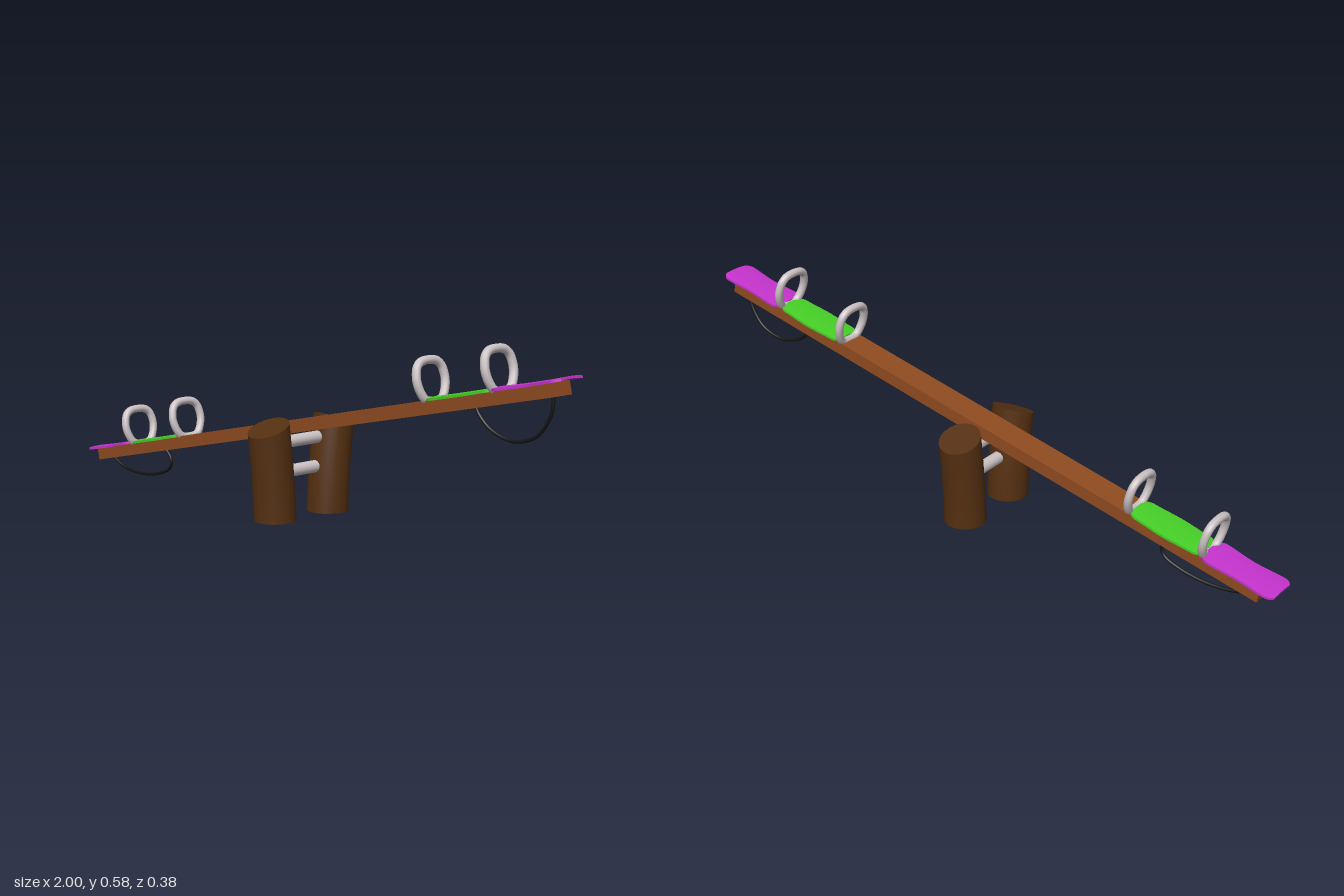
import * as THREE from 'three';

const paint = (color) => new THREE.MeshStandardMaterial({ color });
const WOOD = paint(0x8f4a20), BARK = paint(0x553011), STEEL = paint(0xcdc3c5);
const GREEN = paint(0x46cf26), PURPLE = paint(0xc433cc), RUBBER = paint(0x151515);

function add(parent, name, geometry, material, x = 0, y = 0, z = 0) {
  const mesh = new THREE.Mesh(geometry, material);
  mesh.name = name;
  mesh.position.set(x, y, z);
  parent.add(mesh);
  return mesh;
}

// Log post: leans outward toward the top, with a cut that slopes away from the plank
function postGeometry(side) {
  const g = new THREE.CylinderGeometry(0.063, 0.063, 1, 28, 8);
  const p = g.attributes.position;
  for (let i = 0; i < p.count; i++) {
    const t = p.getY(i) + 0.5, z = p.getZ(i);
    p.setY(i, 0.276 * t - side * z * 0.37 * t);
    p.setZ(i, z * (1 - 0.07 * t) + side * (0.106 + 0.024 * Math.pow(t, 1.5)));
  }
  g.computeVertexNormals();
  return g;
}

// Thin seat pad: rounded corners, slim waist, lifted ends and drooping sides
function seatGeometry(length, endHalf, waistHalf, lift) {
  const g = new THREE.BoxGeometry(2, 0.007, 2, 24, 1, 8);
  const p = g.attributes.position;
  for (let i = 0; i < p.count; i++) {
    const s = p.getX(i), w = p.getZ(i), a = Math.abs(s);
    const half = waistHalf + (endHalf - waistHalf) * Math.sin(Math.min(a / 0.8, 1) * Math.PI / 2) ** 2;
    const corner = a > 0.8 ? 1 - 0.25 * ((a - 0.8) / 0.2) ** 2 : 1;
    p.setXYZ(i, s * length / 2, p.getY(i) + lift * s * s - 0.003 * w * w, w * half * corner);
  }
  g.computeVertexNormals();
  return g;
}

// Closed grab ring standing across the plank
function handleGeometry() {
  const half = [[0.028, 0.125], [0.047, 0.111], [0.055, 0.085], [0.055, 0.066], [0.048, 0.043], [0.034, 0.022], [0.018, 0.016]];
  const points = [
    ...half.map(([z, y]) => new THREE.Vector3(0, y, z)),
    ...half.slice().reverse().map(([z, y]) => new THREE.Vector3(0, y, -z)),
  ];
  return new THREE.TubeGeometry(new THREE.CatmullRomCurve3(points, true), 56, 0.0125, 10, true);
}

// Springy loop under a plank end
function bumperGeometry(points) {
  const curve = new THREE.CatmullRomCurve3(points.map(([x, y]) => new THREE.Vector3(x, y, 0)));
  return new THREE.TubeGeometry(curve, 40, 0.005, 8);
}

export function createModel() {
  const model = new THREE.Group();
  model.name = 'seesaw';

  // Support posts and the two cross pipes between them
  for (const side of [1, -1]) {
    add(model, side > 0 ? 'frontPost' : 'backPost', postGeometry(side), BARK, -0.002, 0, 0.001);
  }
  for (const [name, y] of [['upperPipe', 0.227], ['lowerPipe', 0.139]]) {
    const pipe = add(model, name, new THREE.CylinderGeometry(0.019, 0.019, 0.18, 12), STEEL, -0.002, y, 0);
    pipe.rotation.x = Math.PI / 2;
  }

  // Tilted beam assembly
  const beam = new THREE.Group();
  beam.name = 'beam';
  beam.position.set(0.005, 0.271, 0);
  beam.rotation.z = 0.221;
  model.add(beam);
  add(beam, 'plank', new THREE.BoxGeometry(1.963, 0.038, 0.087), WOOD, 0, 0, -0.001);

  for (const side of [1, -1]) {
    const end = side > 0 ? 'left' : 'right';
    add(beam, end + 'InnerHandle', handleGeometry(), STEEL, side * 0.54);
    add(beam, end + 'OuterHandle', handleGeometry(), STEEL, side * 0.79);
    add(beam, end + 'InnerSeat', seatGeometry(0.24, 0.05, 0.055, 0.001), GREEN, side * 0.667, 0.023);
    add(beam, end + 'OuterSeat', seatGeometry(0.235, 0.058, 0.052, 0.002), PURPLE, side * 0.908, 0.023);
  }

  // Bumpers: the raised one hangs free, the lowered one is pressed flat
  add(beam, 'leftBumper', bumperGeometry([[0.688, -0.015], [0.695, -0.037], [0.73, -0.083], [0.799, -0.119],
    [0.882, -0.114], [0.942, -0.062], [0.959, -0.015]]), RUBBER);
  add(beam, 'rightBumper', bumperGeometry([[-0.957, -0.015], [-0.909, -0.052], [-0.823, -0.082], [-0.726, -0.09],
    [-0.664, -0.077], [-0.65, -0.05], [-0.67, -0.015]]), RUBBER);

  return model;
}
